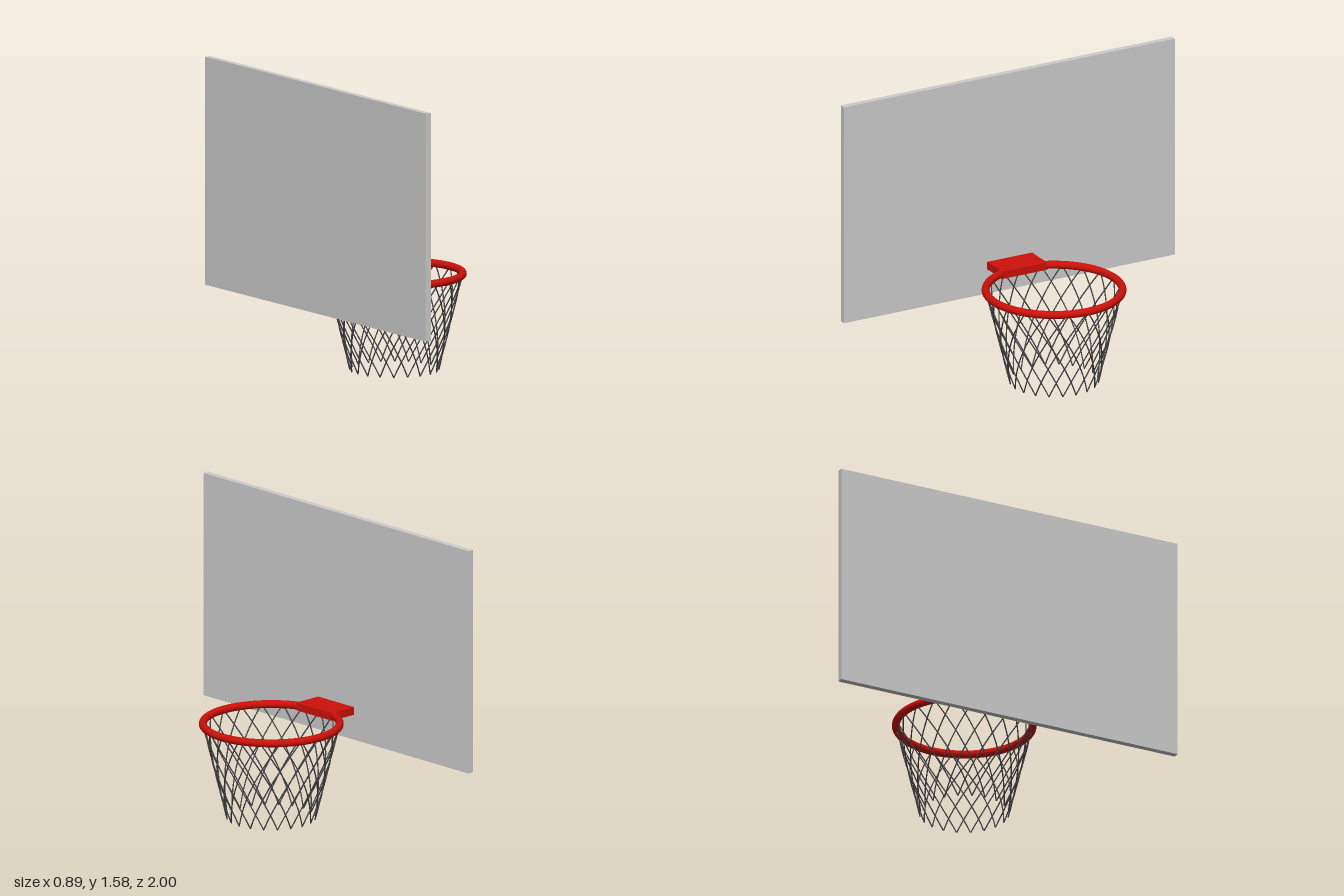
import * as THREE from 'three';

const RIM = { x: 0.064, y: 0.518, radius: 0.36, tube: 0.021 };
const NET = { strands: 20, twist: 3, bottomRadius: 0.234, bottomY: 0.004, cord: 0.0035 };

function addMesh(parent, name, geometry, material) {
  const mesh = new THREE.Mesh(geometry, material);
  mesh.name = name;
  parent.add(mesh);
  return mesh;
}

// One cord winding down the tapered net; direction is +1 or -1
function cordGeometry(direction) {
  const points = [];
  const sweep = direction * NET.twist * Math.PI * 2 / NET.strands;
  for (let i = 0; i <= 12; i++) {
    const t = i / 12;
    const r = THREE.MathUtils.lerp(RIM.radius, NET.bottomRadius, t);
    const y = THREE.MathUtils.lerp(RIM.y, NET.bottomY, t);
    points.push(new THREE.Vector3(Math.cos(sweep * t) * r, y, Math.sin(sweep * t) * r));
  }
  return new THREE.TubeGeometry(new THREE.CatmullRomCurve3(points), 20, NET.cord, 6);
}

export function createModel() {
  const model = new THREE.Group();
  model.name = 'basketballHoop';

  const grey = new THREE.MeshStandardMaterial({ color: 0xcccccc });
  const red = new THREE.MeshStandardMaterial({ color: 0xcc1109 });
  const dark = new THREE.MeshStandardMaterial({ color: 0x444444 });

  // Backboard
  addMesh(model, 'backboard', new THREE.BoxGeometry(0.034, 1.22, 2), grey)
    .position.set(-0.428, 0.97, 0);

  // Bracket joining board and rim
  addMesh(model, 'bracket', new THREE.BoxGeometry(0.162, 0.042, 0.27), red)
    .position.set(-0.331, RIM.y, 0);

  // Rim
  const rim = addMesh(model, 'rim', new THREE.TorusGeometry(RIM.radius, RIM.tube, 16, 72), red);
  rim.rotation.x = Math.PI / 2;
  rim.position.set(RIM.x, RIM.y, 0);

  // Net: two sets of cords winding in opposite directions
  const net = new THREE.Group();
  net.name = 'net';
  net.position.x = RIM.x;
  for (const direction of [1, -1]) {
    const geometry = cordGeometry(direction);
    for (let i = 0; i < NET.strands; i++) {
      addMesh(net, 'netCord', geometry, dark).rotation.y = i * Math.PI * 2 / NET.strands;
    }
  }
  model.add(net);

  return model;
}
